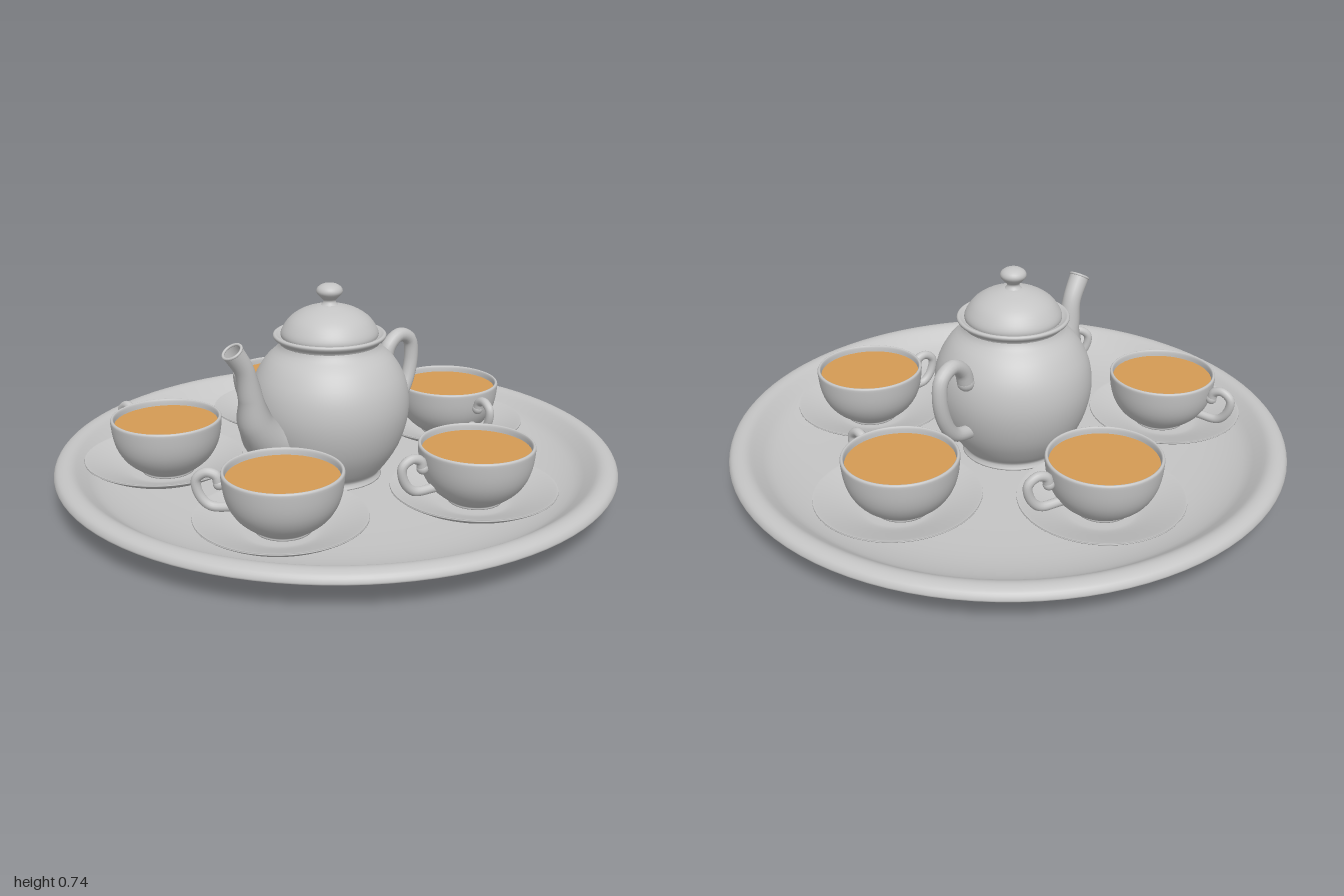
import * as THREE from 'three';

const china = new THREE.MeshStandardMaterial({ color: 0xc4c4c4, side: THREE.DoubleSide });
china.name = 'grey china';
const teaColour = new THREE.MeshStandardMaterial({ color: 0xd49a54 });
teaColour.name = 'tea';

const vectors = (pts) => pts.map(([x, y]) => new THREE.Vector2(x, y));

function mesh(name, geometry, parent, material = china) {
  const m = new THREE.Mesh(geometry, material);
  m.name = name;
  parent.add(m);
  return m;
}

// Smooth turned form: profile of [radius, height], outside first
function turned(pts, sides = 56) {
  const profile = new THREE.SplineCurve(vectors(pts)).getPoints((pts.length - 1) * 3);
  profile.forEach((p) => { p.x = Math.max(p.x, 0); });
  return new THREE.LatheGeometry(profile, sides);
}

// Tube in the local xy plane, whose radius follows a list along its length
function taperedTube(pts, radii, sides = 16) {
  const path = new THREE.CatmullRomCurve3(pts.map(([x, y]) => new THREE.Vector3(x, y, 0)));
  const rings = 36;
  const geo = new THREE.TubeGeometry(path, rings, 1, sides, false);
  const pos = geo.attributes.position;
  const v = new THREE.Vector3();
  for (let i = 0; i <= rings; i++) {
    const centre = path.getPointAt(i / rings);
    const f = (i / rings) * (radii.length - 1);
    const k = Math.min(Math.floor(f), radii.length - 2);
    const r = THREE.MathUtils.lerp(radii[k], radii[k + 1], THREE.MathUtils.smoothstep(f - k, 0, 1));
    for (let j = 0; j <= sides; j++) {
      const n = i * (sides + 1) + j;
      v.fromBufferAttribute(pos, n).sub(centre).multiplyScalar(r).add(centre);
      pos.setXYZ(n, v.x, v.y, v.z);
    }
  }
  return geo;
}

function ball(name, r, x, y, parent) {
  mesh(name, new THREE.SphereGeometry(r, 18, 12), parent).position.set(x, y, 0);
}

// Shallow round tray with a raised, rolled rim
function makeTray(parent) {
  const under = [[0, 0], [0.3, 0], [0.52, 0.002], [0.7, 0.018], [0.83, 0.046], [0.91, 0.076], [0.945, 0.094]];
  const top = [[0.945, 0.094], [0.975, 0.095], [0.995, 0.098], [1, 0.106], [0.99, 0.124], [0.965, 0.134],
    [0.935, 0.13], [0.9, 0.105], [0.85, 0.072], [0.75, 0.044], [0.6, 0.032], [0.3, 0.03], [0, 0.03]];
  mesh('trayUnderside', turned(under, 96), parent);
  mesh('trayTop', turned(top, 96), parent);
}

// Saucer, cup, handle and tea; the cup's handle points along local +x
function makeCup(x, z, saucerX, saucerZ, handleX, handleZ) {
  const place = new THREE.Group();
  place.name = 'cupAndSaucer';

  const saucer = mesh('saucer', turned([[0, 0.04], [0.11, 0.04], [0.14, 0.05], [0.22, 0.078], [0.276, 0.108],
    [0.28, 0.115], [0.274, 0.116], [0.21, 0.092], [0.14, 0.066], [0.1, 0.06], [0, 0.06]]), place);
  saucer.position.set(saucerX, 0, saucerZ);

  const cup = new THREE.Group();
  cup.name = 'cup';
  cup.position.set(x, 0, z);
  cup.rotation.y = Math.atan2(-handleZ, handleX);
  place.add(cup);
  mesh('cupBowl', turned([[0, 0.06], [0.085, 0.06], [0.09, 0.07], [0.115, 0.085], [0.15, 0.115], [0.176, 0.155],
    [0.19, 0.2], [0.196, 0.25], [0.195, 0.263], [0.189, 0.266], [0.184, 0.258], [0.18, 0.22], [0.16, 0.16],
    [0.1, 0.1], [0, 0.09]]), cup);
  mesh('cupHandle', taperedTube([[0.205, 0.21], [0.213, 0.236], [0.245, 0.246], [0.278, 0.222], [0.27, 0.17],
    [0.235, 0.133], [0.155, 0.132]], [0.018, 0.016, 0.016, 0.016, 0.016], 14), cup);
  ball('cupHandleCurl', 0.02, 0.204, 0.208, cup);
  const tea = mesh('tea', new THREE.CircleGeometry(0.183, 56), cup, teaColour);
  tea.rotation.x = -Math.PI / 2;
  tea.position.y = 0.243;
  return place;
}

// Teapot: spout along local -x, handle along local +x
function makeTeapot() {
  const pot = new THREE.Group();
  pot.name = 'teapot';
  pot.position.set(-0.027, 0, -0.008);
  pot.rotation.y = -0.21;

  mesh('potBody', turned([[0, 0.035], [0.17, 0.035], [0.182, 0.045], [0.18, 0.06], [0.205, 0.09], [0.248, 0.16],
    [0.275, 0.24], [0.283, 0.32], [0.268, 0.4], [0.23, 0.468], [0.187, 0.51], [0.176, 0.53]], 72), pot);
  mesh('potCollar', turned([[0.175, 0.525], [0.18, 0.537], [0.195, 0.548], [0.199, 0.558], [0.192, 0.564],
    [0.18, 0.558], [0.165, 0.552]]), pot);
  mesh('lid', turned([[0.17, 0.55], [0.172, 0.565], [0.162, 0.588], [0.138, 0.618], [0.1, 0.643],
    [0.06, 0.657], [0.03, 0.664], [0, 0.665]]), pot);
  mesh('lidKnob', turned([[0.04, 0.655], [0.026, 0.668], [0.022, 0.68], [0.034, 0.692], [0.046, 0.708],
    [0.042, 0.724], [0.024, 0.736], [0, 0.74]], 32), pot);

  mesh('spout', taperedTube([[-0.2, 0.215], [-0.28, 0.238], [-0.335, 0.305], [-0.355, 0.4], [-0.378, 0.5],
    [-0.425, 0.575]], [0.085, 0.083, 0.06, 0.042, 0.034, 0.036], 24), pot);
  const lip = mesh('spoutLip', new THREE.TorusGeometry(0.034, 0.005, 8, 28), pot);
  lip.position.set(-0.425, 0.575, 0);
  lip.quaternion.setFromUnitVectors(new THREE.Vector3(0, 0, 1), new THREE.Vector3(-0.55, 0.83, 0).normalize());

  mesh('potHandle', taperedTube([[0.272, 0.405], [0.29, 0.455], [0.345, 0.49], [0.4, 0.465], [0.412, 0.4],
    [0.39, 0.305], [0.34, 0.235], [0.24, 0.205]], [0.03, 0.026, 0.026, 0.026, 0.025, 0.025]), pot);
  ball('potHandleCurl', 0.031, 0.272, 0.405, pot);
  return pot;
}

export function createModel() {
  const model = new THREE.Group();
  model.name = 'teaTray';
  makeTray(model);
  model.add(makeTeapot());
  // cup x, z, saucer x, z, handle direction x, z
  const places = [
    [-0.4, -0.455, -0.405, -0.468, 0.05, -0.295],
    [0.275, -0.47, 0.285, -0.468, 0.225, 0.19],
    [0.547, 0.138, 0.55, 0.152, -0.12, 0.265],
    [-0.545, 0.19, -0.555, 0.188, -0.145, -0.25],
    [0.017, 0.567, 0.005, 0.567, -0.255, -0.145],
  ];
  places.forEach((p) => model.add(makeCup(...p)));
  return model;
}
